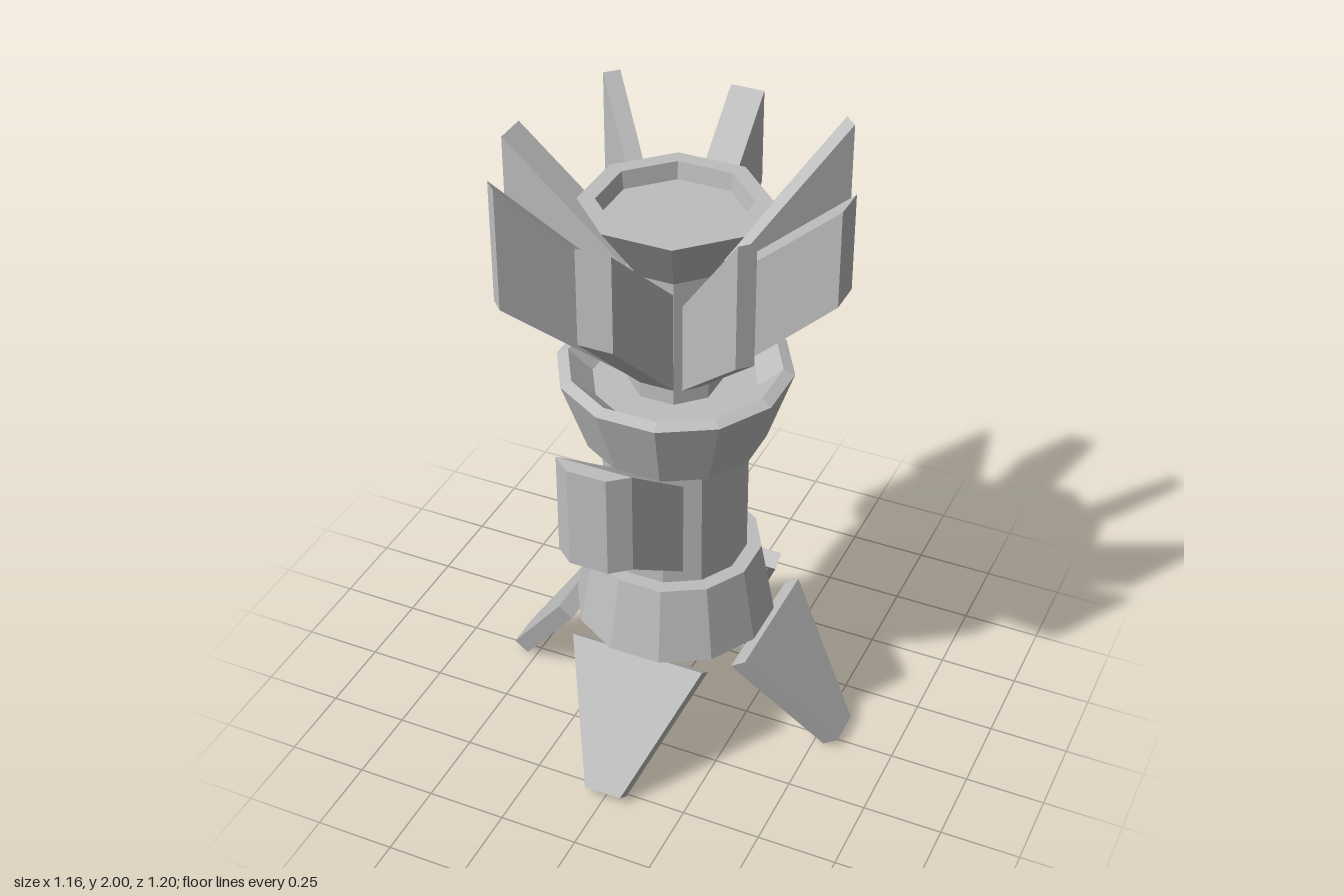
import * as THREE from 'three';

const grey = new THREE.MeshStandardMaterial({ color: 0xbebebe, flatShading: true });
grey.name = 'hull grey';
const AXIS_Z = 0.01;   // centre line of the tower
const LEG_Z = -0.023;  // centre line of the leg set

function mesh(name, geometry) {
  const m = new THREE.Mesh(geometry, grey);
  m.name = name;
  return m;
}

// Faceted solid of revolution; profile gives [distance to flat, height], flats face the axes
function faceted(name, sides, profile) {
  const k = 1 / Math.cos(Math.PI / sides);
  const points = profile.map(([r, y]) => new THREE.Vector2(r * k, y));
  const m = mesh(name, new THREE.LatheGeometry(points, sides, Math.PI / sides));
  m.position.z = AXIS_Z;
  return m;
}

// Block running outward along +z through sections [distance, low y, high y, half width]
function sweptBlock(sections) {
  const n = sections.length - 1;
  const g = new THREE.BoxGeometry(1, 1, 1, 1, 1, n);
  const p = g.attributes.position;
  for (let i = 0; i < p.count; i++) {
    const [d, low, high, half] = sections[Math.round((p.getZ(i) + 0.5) * n)];
    p.setXYZ(i, Math.sign(p.getX(i)) * half, p.getY(i) > 0 ? high : low, d);
  }
  g.computeVertexNormals();
  return g;
}

// Splayed leg: tapered plate with a shallow recess on its underside
function makeLeg() {
  const leg = new THREE.Group();
  leg.name = 'leg';
  const length = 0.448, thick = 0.057, recess = 0.012;
  const trapezoid = (Type, top, bottom, y0, y1) => new Type([
    [-top, y0], [-bottom, y1], [bottom, y1], [top, y0],
  ].map(([x, y]) => new THREE.Vector2(x, y)));
  const outline = trapezoid(THREE.Shape, 0.22, 0.06, 0, -length);
  const plate = mesh('legPlate', new THREE.ExtrudeGeometry(outline, { depth: thick - recess, bevelEnabled: false }));
  plate.position.z = recess - thick;
  const rim = trapezoid(THREE.Shape, 0.22, 0.06, 0, -length);
  rim.holes.push(trapezoid(THREE.Path, 0.188, 0.046, -0.02, -length + 0.02));
  const frame = mesh('legRim', new THREE.ExtrudeGeometry(rim, { depth: recess, bevelEnabled: false }));
  frame.position.z = -thick;
  const tilted = new THREE.Group();
  tilted.add(plate, frame);
  tilted.rotation.x = -0.616;
  tilted.position.set(0, 0.399, 0.32);
  leg.add(tilted);
  return leg;
}

export function createModel() {
  const model = new THREE.Group();
  model.name = 'tower';

  // Main column: hollow skirt, body and flared collar
  model.add(
    faceted('skirt', 12, [[0, 0.5], [0.25, 0.5], [0.27, 0.405], [0.305, 0.405], [0.262, 0.65], [0.2, 0.65]]),
    faceted('body', 12, [[0.217, 0.64], [0.217, 1.08]]),
    faceted('collar', 12, [[0.2, 1.07], [0.267, 1.07], [0.343, 1.3], [0.31, 1.315], [0.24, 1.25], [0, 1.25]]),
    faceted('neckAndCup', 8, [
      [0.13, 1.24], [0.13, 1.66], [0.255, 1.85], [0.207, 1.85], [0.2, 1.795], [0, 1.795],
    ]),
  );

  // Four straight fins with four slimmer ones between them
  const wideFin = sweptBlock([[0.12, 1.29, 1.615, 0.053], [0.515, 1.66, 1.96, 0.053]]);
  const slimFin = sweptBlock([[0.12, 1.285, 1.57, 0.027], [0.53, 1.62, 2, 0.027]]);
  for (let i = 0; i < 8; i++) {
    const fin = mesh(i % 2 ? 'slimFin' : 'wideFin', i % 2 ? slimFin : wideFin);
    fin.position.z = AXIS_Z;
    fin.rotation.y = i * Math.PI / 4;
    model.add(fin);
  }

  // Front and back pods with chamfered noses
  const podShape = sweptBlock([
    [0.2, 0.7, 1.02, 0.117], [0.545, 0.965, 1.29, 0.117], [0.592, 0.965, 1.29, 0.06],
  ]);
  ['frontPod', 'backPod'].forEach((name, i) => {
    const pod = mesh(name, podShape);
    pod.position.z = AXIS_Z;
    pod.rotation.y = i * Math.PI;
    model.add(pod);
  });

  // Four legs, each with a bracket under the skirt
  for (let i = 0; i < 4; i++) {
    const leg = makeLeg();
    leg.position.z = LEG_Z;
    leg.rotation.y = i * Math.PI / 2;
    const bracket = mesh('legBracket', sweptBlock([[0.212, 0.325, 0.51, 0.05], [0.262, 0.325, 0.45, 0.05]]));
    bracket.position.z = AXIS_Z;
    bracket.rotation.y = leg.rotation.y;
    model.add(leg, bracket);
  }

  return model;
}
